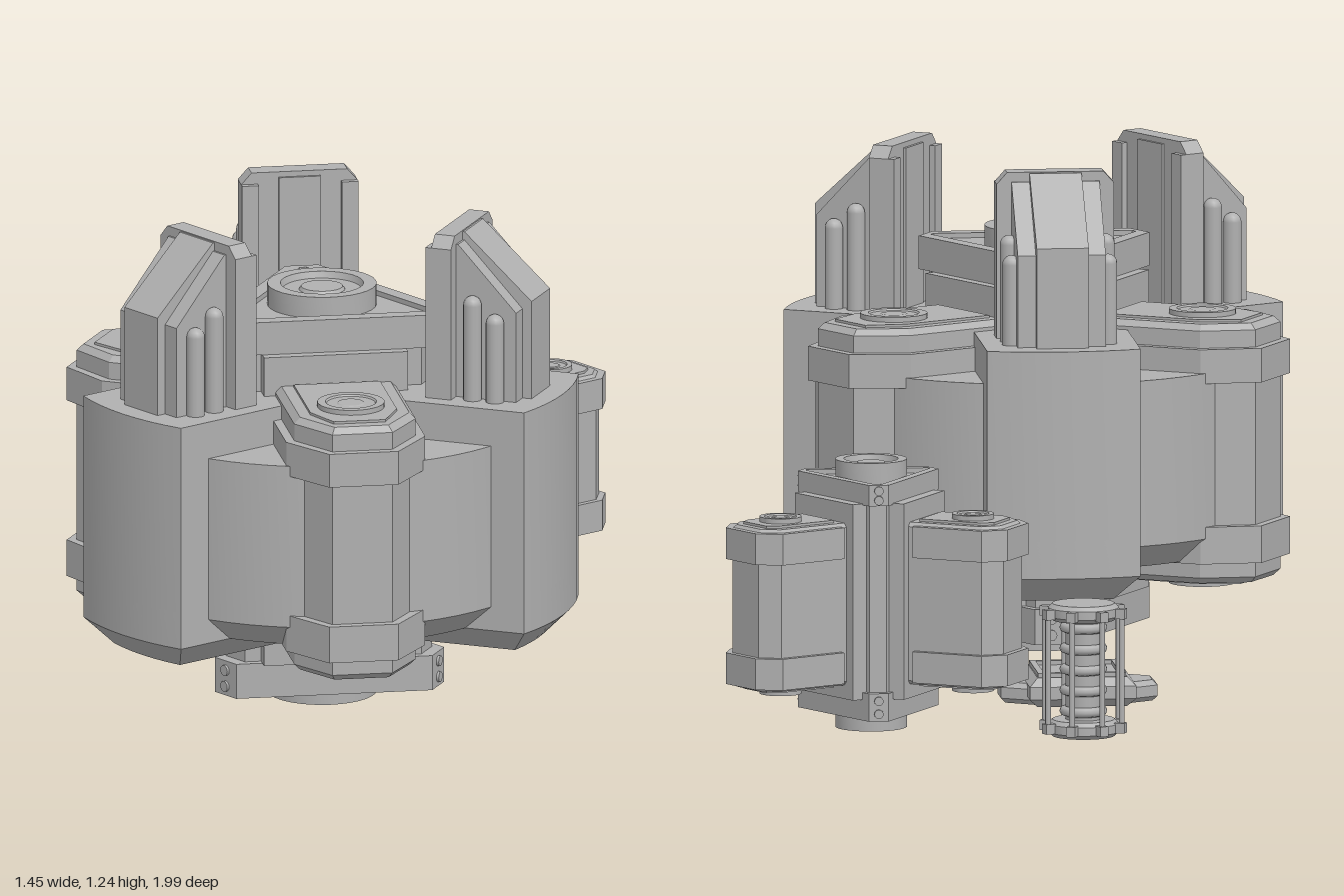
import * as THREE from 'three';
import { toCreasedNormals } from 'three/addons/utils/BufferGeometryUtils.js';

const grey = new THREE.MeshStandardMaterial({ color: 0xb0b0b0 });
grey.name = 'plain grey';

function add(parent, name, geo, x = 0, y = 0, z = 0) {
  const m = new THREE.Mesh(geo, grey);
  m.name = name;
  m.position.set(x, y, z);
  parent.add(m);
  return m;
}

const poly = (pts) => new THREE.Shape(pts.map(([x, y]) => new THREE.Vector2(x, y)));

// Upright prism from a plan of [x, z] points, with optional chamfered ends
function prism(pts, y0, y1, bevel = 0, hole = null) {
  const shape = poly(pts);
  if (hole) shape.holes.push(new THREE.Path(hole.map(([x, y]) => new THREE.Vector2(x, y))));
  const geo = new THREE.ExtrudeGeometry(shape, {
    depth: y1 - y0 - 2 * bevel, bevelEnabled: bevel > 0, bevelSegments: 1,
    bevelSize: bevel, bevelThickness: bevel, bevelOffset: -bevel,
  });
  geo.rotateX(Math.PI / 2).translate(0, y1 - bevel, 0);
  return toCreasedNormals(geo, 0.4);
}

const lathe = (pts, n = 32) =>
  toCreasedNormals(new THREE.LatheGeometry(pts.map(([x, y]) => new THREE.Vector2(x, y)), n), 0.5);

// Plans
const rect = (hx, hz) => [[-hx, -hz], [hx, -hz], [hx, hz], [-hx, hz]];
const podPlan = (half, shoulder, endHalf, end, start = 0) => [
  [-half, start], [-half, shoulder], [-endHalf, end], [endHalf, end], [half, shoulder], [half, start]];
function triPlan(inner, tip) {
  const h = (2 * inner - tip) * Math.tan(Math.PI / 6), pts = [];
  for (let k = 0; k < 3; k++) {
    const a = k * Math.PI * 2 / 3, c = Math.cos(a), s = Math.sin(a);
    for (const x of [-h, h]) pts.push([x * c + tip * s, x * s - tip * c]);
  }
  return pts;
}

// Stepped round boss, standing on its base
const boss = (r, h) => lathe([[r, 0], [r, h], [r * 0.76, h], [r * 0.72, h * 0.7], [r * 0.42, h * 0.7],
  [r * 0.38, h * 0.85], [0, h * 0.85]]);

function bossPair(parent, name, r, h, bottom, top, z = 0) {
  add(parent, name + 'Top', boss(r, h), 0, top, z);
  add(parent, name + 'Bottom', boss(r, h), 0, bottom, z).rotation.x = Math.PI;
}

// Triangular hub with an end plate above and below
function hub(parent, o) {
  add(parent, 'hubCore', prism(triPlan(o.inner * 0.9, o.tip * 0.9), o.low[0], o.high[1] - 0.02));
  const outer = triPlan(o.inner, o.tip), rim = triPlan(o.inner * 0.8, o.tip * 0.94);
  for (const [y0, y1, dir] of [[...o.low, -1], [...o.high, 1]]) {
    const t = 0.012;
    add(parent, 'hubPlate', prism(outer, y0 + (dir < 0 ? t : 0), y1 - (dir > 0 ? t : 0)));
    add(parent, 'hubPlateRim', dir > 0 ? prism(outer, y1 - t, y1, 0, rim) : prism(outer, y0, y0 + t, 0, rim));
    // Two bolts on each cut corner
    for (let k = 0; k < 3; k++) for (const f of [0.27, 0.73]) {
      const g = new THREE.Group();
      g.name = 'hubBolt';
      g.rotation.y = k * Math.PI * 2 / 3;
      add(g, 'bolt', new THREE.CylinderGeometry(o.bolt, o.bolt, 0.012, 12), 0, y0 + (y1 - y0) * f, -o.tip)
        .rotation.x = Math.PI / 2;
      parent.add(g);
    }
  }
  bossPair(parent, 'hubBoss', o.bossR, o.bossH, o.low[0] + 0.012, o.high[1] - 0.012);
}

// Pod facing +z: body, two bands, end plates and bosses
function pod(o) {
  const g = new THREE.Group(), d = o.step;
  g.name = 'pod';
  add(g, 'podBody', prism(podPlan(o.half - d, o.shoulder - d * 0.5, o.endHalf - d * 0.5, o.end - d), o.y0, o.y1, d * 0.7));
  for (const [a, b] of o.bands)
    add(g, 'podBand', prism(podPlan(o.half, o.shoulder, o.endHalf, o.end, o.start), a, b));
  const inset = podPlan(o.half - d * 3, o.shoulder - d * 1.5, o.endHalf - d, o.end - d * 3, o.start);
  add(g, 'podEndPlates', prism(inset, o.y0 - 0.006, o.y1 + 0.006));
  bossPair(g, 'podBoss', o.bossR, 0.014, o.y0 - 0.004, o.y1 + 0.004, o.bossZ);
  add(g, 'podCollar', prism([[-o.collar, 0], [o.collar, 0], [o.collar, o.collarZ], [-o.collar, o.collarZ]], ...o.collarY));
  return g;
}

// Upright fin facing -z, standing on a wing
function fin() {
  const g = new THREE.Group(), y = 0.845;
  g.name = 'fin';
  const plate = new THREE.ExtrudeGeometry(
    poly([[-0.14, y], [0.14, y], [0.14, 1.215], [0.115, 1.243], [-0.115, 1.243], [-0.14, 1.215]]),
    { depth: 0.05, bevelEnabled: false });
  add(g, 'finPlate', plate, 0, 0, -0.38);
  for (const s of [-1, 1]) {
    add(g, 'finPlateEdge', new THREE.BoxGeometry(0.04, 0.37, 0.015), s * 0.12, y + 0.185, -0.3225);
    // Rods standing along the flank
    for (const [r, top] of [[0.425, 1.1], [0.482, 1.06]])
      add(g, 'finRod', new THREE.CapsuleGeometry(0.022, top - y - 0.022, 5, 14), s * 0.115, (top + y) / 2 - 0.011, -r);
  }
  add(g, 'finPlatePanel', new THREE.BoxGeometry(0.1, 0.385, 0.008), 0, y + 0.1925, -0.327);
  // Sloped back in two steps
  for (const [half, end, drop] of [[0.105, 0.532, 0.02], [0.062, 0.555, 0]]) {
    const geo = new THREE.ExtrudeGeometry(
      poly([[0.36, y], [end, y], [end, 1.085 - drop], [0.385, 1.24 - drop], [0.36, 1.24 - drop]]),
      { depth: half * 2, bevelEnabled: false });
    add(g, 'finBack', geo.translate(0, 0, -half).rotateY(Math.PI / 2));
  }
  return g;
}

// Wing facing -z with a curved outer face and chamfered foot
function wing() {
  const g = new THREE.Group(), half = 0.183, r = 0.61, pts = [[half, 0]];
  g.name = 'wing';
  const a = Math.asin(half / r);
  for (let i = 0; i <= 8; i++) {
    const t = a - (a * 2 * i) / 8;
    pts.push([r * Math.sin(t), -r * Math.cos(t)]);
  }
  pts.push([-half, 0]);
  add(g, 'wingBody', prism(pts, 0.3, 0.845));
  add(g, 'wingFoot', prism(pts, 0.24, 0.45, 0.06));
  return g;
}

function threefold(parent, makers) {
  for (let k = 0; k < 3; k++) for (const make of makers) {
    const g = make();
    g.rotation.y = k * Math.PI * 2 / 3;
    parent.add(g);
  }
}

function largeUnit() {
  const g = new THREE.Group();
  g.name = 'largeUnit';
  hub(g, { inner: 0.182, tip: 0.295, low: [0.095, 0.18], high: [0.94, 1.02], bossR: 0.13, bossH: 0.052, bolt: 0.013 });
  add(g, 'drum', lathe([[0, 0.3], [0.47, 0.3], [0.53, 0.358], [0.53, 0.755], [0, 0.755]], 64));
  threefold(g, [wing, fin, () => pod({
    half: 0.167, shoulder: 0.495, endHalf: 0.083, end: 0.616, start: 0.22, step: 0.021, y0: 0.246, y1: 0.868,
    bands: [[0.297, 0.386], [0.73, 0.812]], bossR: 0.08, bossZ: 0.425,
    collar: 0.173, collarZ: 0.208, collarY: [0.18, 0.94] })]);
  g.position.set(-0.13, 0, 0.375);
  return g;
}

function smallUnit() {
  const g = new THREE.Group();
  g.name = 'smallUnit';
  hub(g, { inner: 0.11, tip: 0.18, low: [0.04, 0.107], high: [0.557, 0.607], bossR: 0.085, bossH: 0.05, bolt: 0.011 });
  threefold(g, [() => pod({
    half: 0.106, shoulder: 0.335, endHalf: 0.06, end: 0.382, start: 0.155, step: 0.014, y0: 0.123, y1: 0.512,
    bands: [[0.13, 0.205], [0.43, 0.505]], bossR: 0.05, bossZ: 0.265,
    collar: 0.118, collarZ: 0.138, collarY: [0.09, 0.56] })]);
  g.position.set(0.365, 0, -0.55);
  return g;
}

// Flat square pad with two ears
function pad() {
  const g = new THREE.Group();
  g.name = 'pad';
  add(g, 'padSlab', prism(rect(0.127, 0.132), 0.055, 0.125, 0.02));
  add(g, 'padFrame', prism(rect(0.105, 0.107), 0.12, 0.135, 0, rect(0.09, 0.092)));
  for (const s of [-1, 1])
    add(g, 'padEar', prism([[s * 0.1, -0.09], [s * 0.13, -0.075], [s * 0.187, -0.04], [s * 0.187, 0.04],
      [s * 0.13, 0.075], [s * 0.1, 0.09]], 0.055, 0.105, 0.012));
  add(g, 'padBoss', lathe([[0.036, 0], [0.036, 0.015], [0.02, 0.015], [0.018, 0.008], [0, 0.008]], 8), 0, 0.125, 0);
  g.position.set(-0.13, 0, -0.525);
  return g;
}

// Small round cage with a ringed core
function cage() {
  const g = new THREE.Group();
  g.name = 'cage';
  add(g, 'cageCore', new THREE.CylinderGeometry(0.042, 0.042, 0.28, 24), 0, 0.185, 0);
  for (let i = 0; i < 5; i++)
    add(g, 'cageRing', new THREE.TorusGeometry(0.045, 0.012, 8, 24).rotateX(Math.PI / 2), 0, 0.085 + i * 0.05, 0);
  for (const y of [0.025, 0.303])
    add(g, 'cageCap', lathe([[0, 0], [0.074, 0], [0.084, 0.01], [0.084, 0.03], [0.074, 0.04], [0, 0.04]]), 0, y, 0);
  for (let i = 0; i < 8; i++) {
    const a = (i + 0.5) * Math.PI / 4, s = Math.sin(a), c = Math.cos(a);
    add(g, 'cageRod', new THREE.CylinderGeometry(0.007, 0.007, 0.28, 10), s * 0.095, 0.184, c * 0.095);
    for (const y of [0.047, 0.321])
      add(g, 'cageLug', new THREE.BoxGeometry(0.022, 0.024, 0.03), s * 0.09, y, c * 0.09).rotation.y = a;
  }
  g.position.set(-0.106, 0, -0.895);
  return g;
}

export function createModel() {
  const model = new THREE.Group();
  model.name = 'podCluster';
  model.add(largeUnit(), smallUnit(), pad(), cage());
  return model;
}
